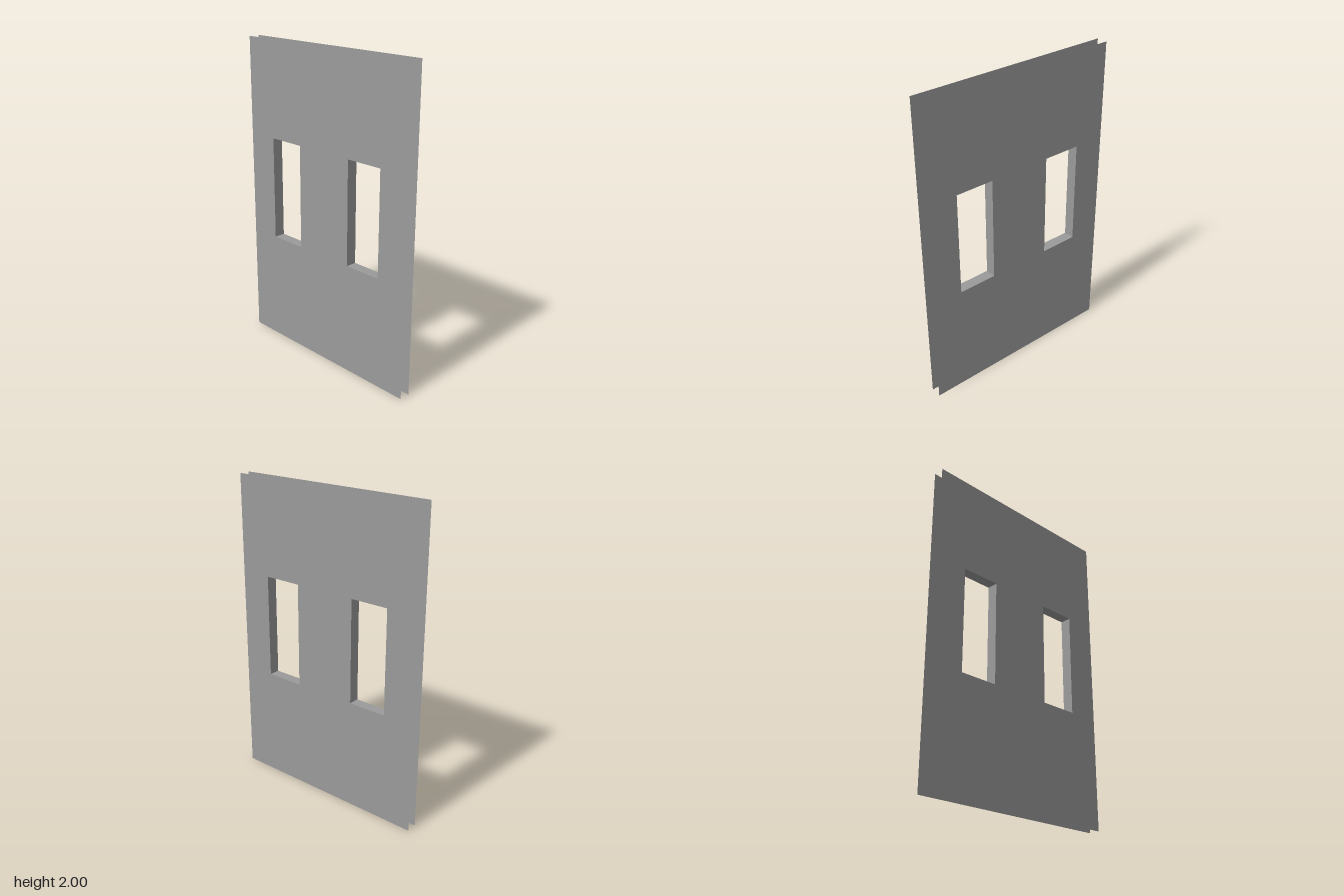
import * as THREE from 'three';

const W = 1.333, H = 2, DEPTH = 0.07;
const WIN = { x: 0.333, y: 1.048, w: 0.252, h: 0.667 };

export function createModel() {
  const group = new THREE.Group();
  const material = new THREE.MeshStandardMaterial({ color: 0x9b9b9b, side: THREE.DoubleSide });

  const add = (parent, name, geometry) => {
    const mesh = new THREE.Mesh(geometry, material);
    mesh.name = name;
    parent.add(mesh);
    return mesh;
  };

  const rect = (Type, x0, y0, w, h) => new Type([
    new THREE.Vector2(x0, y0), new THREE.Vector2(x0 + w, y0),
    new THREE.Vector2(x0 + w, y0 + h), new THREE.Vector2(x0, y0 + h),
  ]);

  // Wall sheet with two window openings
  const sheet = rect(THREE.Shape, -W / 2, 0, W, H);
  for (const s of [-1, 1]) {
    sheet.holes.push(rect(THREE.Path, s * WIN.x - WIN.w / 2, WIN.y - WIN.h / 2, WIN.w, WIN.h));
  }
  const sheetGeometry = new THREE.ShapeGeometry(sheet);

  // Front and back skins, open around the outer edge
  add(group, 'frontWall', sheetGeometry).position.z = DEPTH / 2;
  const back = add(group, 'backWall', sheetGeometry);
  back.position.z = -DEPTH / 2;
  back.rotation.y = Math.PI;

  // Window linings joining the skins, facing into each opening
  for (const s of [-1, 1]) {
    const lining = new THREE.Group();
    lining.name = s > 0 ? 'leftWindowLining' : 'rightWindowLining';
    lining.position.set(s * WIN.x, WIN.y, 0);
    for (const d of [-1, 1]) {
      const jamb = add(lining, d > 0 ? 'leftJamb' : 'rightJamb', new THREE.PlaneGeometry(DEPTH, WIN.h));
      jamb.position.x = d * WIN.w / 2;
      jamb.rotation.y = -d * Math.PI / 2;
      const ledge = add(lining, d > 0 ? 'lintel' : 'sill', new THREE.PlaneGeometry(WIN.w, DEPTH));
      ledge.position.y = d * WIN.h / 2;
      ledge.rotation.x = d * Math.PI / 2;
    }
    group.add(lining);
  }

  return group;
}
